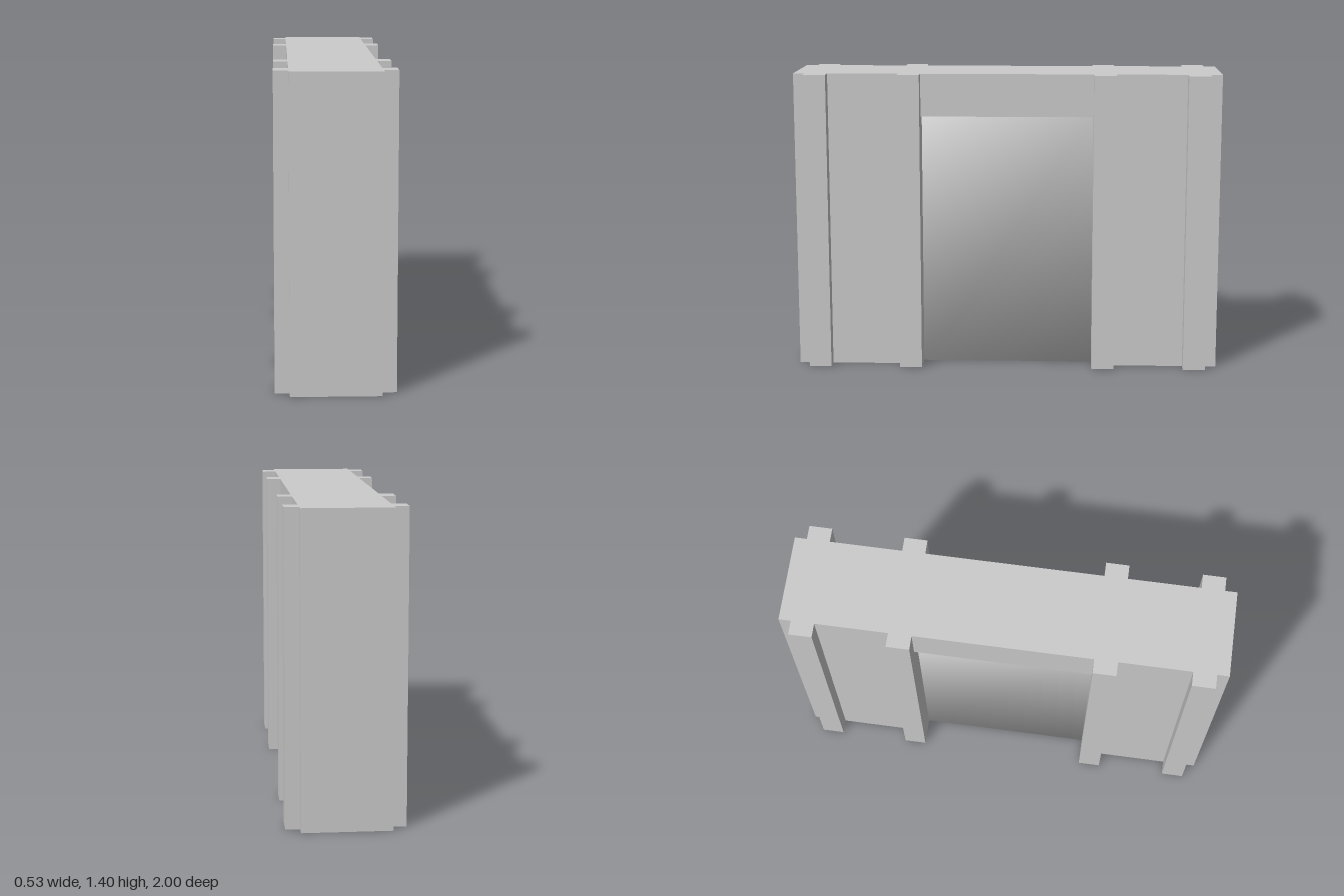
import * as THREE from 'three';

const HEIGHT = 1.4, HALF_LENGTH = 1, HALF_DEPTH = 0.2;
const OPENING_HALF = 0.405, OPENING_HEIGHT = 1.2;
const PANEL_HALF_DEPTH = 0.14;
const RIB_WIDTH = 0.105, RIB_DEPTH = 0.065;

export function createModel() {
  const group = new THREE.Group();
  const material = new THREE.MeshStandardMaterial({ color: 0xcccccc });
  const add = (name, geometry, x = 0, y = 0, z = 0) => {
    const mesh = new THREE.Mesh(geometry, material);
    mesh.name = name;
    mesh.position.set(x, y, z);
    group.add(mesh);
  };

  // Wall with a doorway, extruded through its thickness
  const outline = [
    [-HALF_LENGTH, 0], [-OPENING_HALF, 0], [-OPENING_HALF, OPENING_HEIGHT],
    [OPENING_HALF, OPENING_HEIGHT], [OPENING_HALF, 0], [HALF_LENGTH, 0],
    [HALF_LENGTH, HEIGHT], [-HALF_LENGTH, HEIGHT],
  ].map(([x, y]) => new THREE.Vector2(x, y));
  const wall = new THREE.ExtrudeGeometry(new THREE.Shape(outline), {
    depth: 2 * HALF_DEPTH, bevelEnabled: false,
  });
  wall.translate(0, 0, -HALF_DEPTH).rotateY(-Math.PI / 2);
  add('wall', wall);

  // Door panel set back in the doorway, shaded smoothly across its corners
  const panel = new THREE.BoxGeometry(2 * PANEL_HALF_DEPTH, OPENING_HEIGHT, 2 * OPENING_HALF);
  const { position, normal } = panel.attributes;
  const n = new THREE.Vector3();
  for (let i = 0; i < position.count; i++) {
    n.fromBufferAttribute(position, i);
    n.set(Math.sign(n.x), Math.sign(n.y), Math.sign(n.z)).normalize();
    normal.setXYZ(i, n.x, n.y, n.z);
  }
  add('doorPanel', panel, 0, OPENING_HEIGHT / 2, 0);

  // Upright ribs beside the doorway and near the ends, on both faces
  const rib = new THREE.BoxGeometry(RIB_DEPTH, HEIGHT, RIB_WIDTH);
  for (const side of [-1, 1]) {
    for (const end of [-1, 1]) {
      const x = side * (HALF_DEPTH + RIB_DEPTH / 2);
      add('doorRib', rib, x, HEIGHT / 2, end * (OPENING_HALF + RIB_WIDTH / 2));
      add('endRib', rib, x, HEIGHT / 2, end * 0.8925);
    }
  }
  return group;
}
